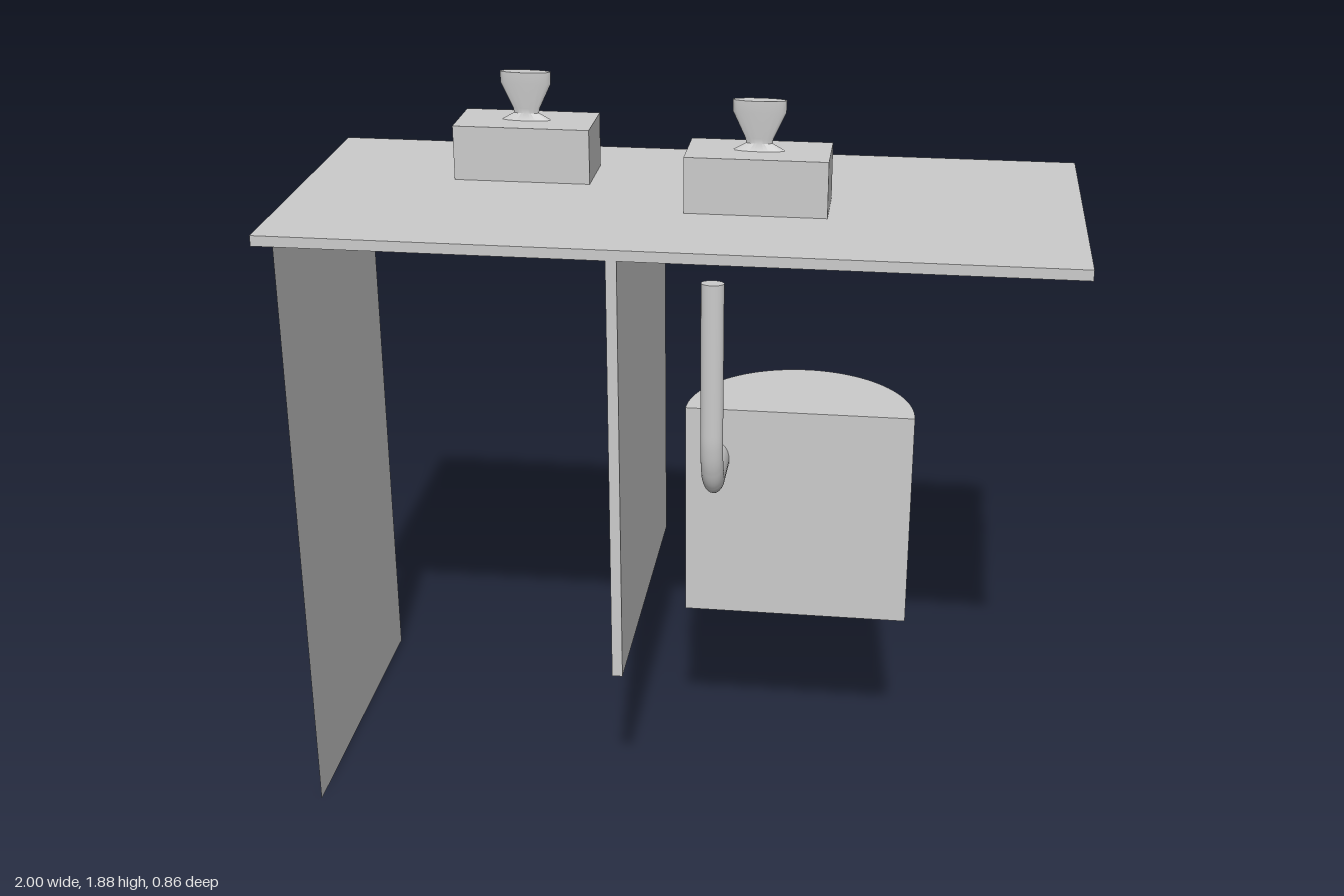
import * as THREE from 'three';
import { toCreasedNormals } from 'three/addons/utils/BufferGeometryUtils.js';

const material = new THREE.MeshStandardMaterial({ color: 0xcccccc });
const thin = new THREE.MeshStandardMaterial({ color: 0xcccccc, side: THREE.DoubleSide });

function add(parent, name, geometry, x, y, z, mat = material) {
  const mesh = new THREE.Mesh(geometry, mat);
  mesh.name = name;
  mesh.position.set(x, y, z);
  parent.add(mesh);
  return mesh;
}

// Box with a flattened, flared knob on top
function createSwitch(name, x, z) {
  const group = new THREE.Group();
  group.name = name;
  group.position.set(x, 1.612, z);
  add(group, 'switchBox', new THREE.BoxGeometry(0.357, 0.143, 0.176), 0, 0.0715, 0);
  const profile = [[0.065, 0], [0.033, 0.018], [0.035, 0.03], [0.066, 0.096], [0.067, 0.127], [0, 0.127]]
    .map(([r, y]) => new THREE.Vector2(r, y));
  const knob = new THREE.LatheGeometry(profile, 32).scale(1, 1, 0.26);
  add(group, 'knob', toCreasedNormals(knob, 0.5), 0, 0.143, 0);
  return group;
}

// Half-round tank with its flat face to the front
function createTank() {
  const group = new THREE.Group();
  group.name = 'tank';
  group.position.set(0.3125, 0.7775, 0.105);
  const r = 0.2975, h = 0.595;
  add(group, 'tankShell', new THREE.CylinderGeometry(r, r, h, 48, 1, false, Math.PI / 2, Math.PI), 0, 0, 0);
  add(group, 'tankFace', new THREE.PlaneGeometry(2 * r, h), 0, 0, 0);
  return group;
}

// Bent pipe: a round tube stretched in height and width
function createPipe() {
  const group = new THREE.Group();
  group.name = 'pipe';
  const sx = 1.45, sy = 2.35, r = 0.02, bend = 0.06;
  const y0 = 0.932 / sy, yTop = 1.48 / sy, zBend = 0.205;
  const points = [new THREE.Vector3(0, y0, 0.1)];
  for (let i = 0; i <= 16; i++) {
    const a = (i / 16) * Math.PI / 2;
    points.push(new THREE.Vector3(0, y0 + bend * (1 - Math.cos(a)), zBend + bend * Math.sin(a)));
  }
  points.push(new THREE.Vector3(0, yTop, zBend + bend));
  const path = new THREE.CurvePath();
  for (let i = 1; i < points.length; i++) path.add(new THREE.LineCurve3(points[i - 1], points[i]));
  const tube = new THREE.TubeGeometry(path, 80, r, 24).scale(sx, sy, 1);
  add(group, 'pipeTube', tube, 0.102, 0, 0);
  const cap = new THREE.CircleGeometry(r, 24).rotateX(-Math.PI / 2).scale(sx, 1, 1);
  add(group, 'pipeCap', cap, 0.102, 1.48, zBend + bend);
  return group;
}

export function createModel() {
  const model = new THREE.Group();
  model.name = 'workTable';
  const depth = 0.864;

  // Top and upright panels
  add(model, 'tableTop', new THREE.BoxGeometry(2, 0.027, depth), 0, 1.5985, 0);
  add(model, 'middlePanel', new THREE.BoxGeometry(0.027, 1.135, depth), -0.122, 1.0175, 0);
  add(model, 'sidePanel', new THREE.PlaneGeometry(depth, 1.585).rotateY(Math.PI / 2), -0.945, 0.7925, 0, thin);

  // Fittings below and on the top
  model.add(createTank(), createPipe());
  model.add(createSwitch('backSwitch', -0.436, -0.166), createSwitch('frontSwitch', 0.192, 0.043));
  return model;
}
